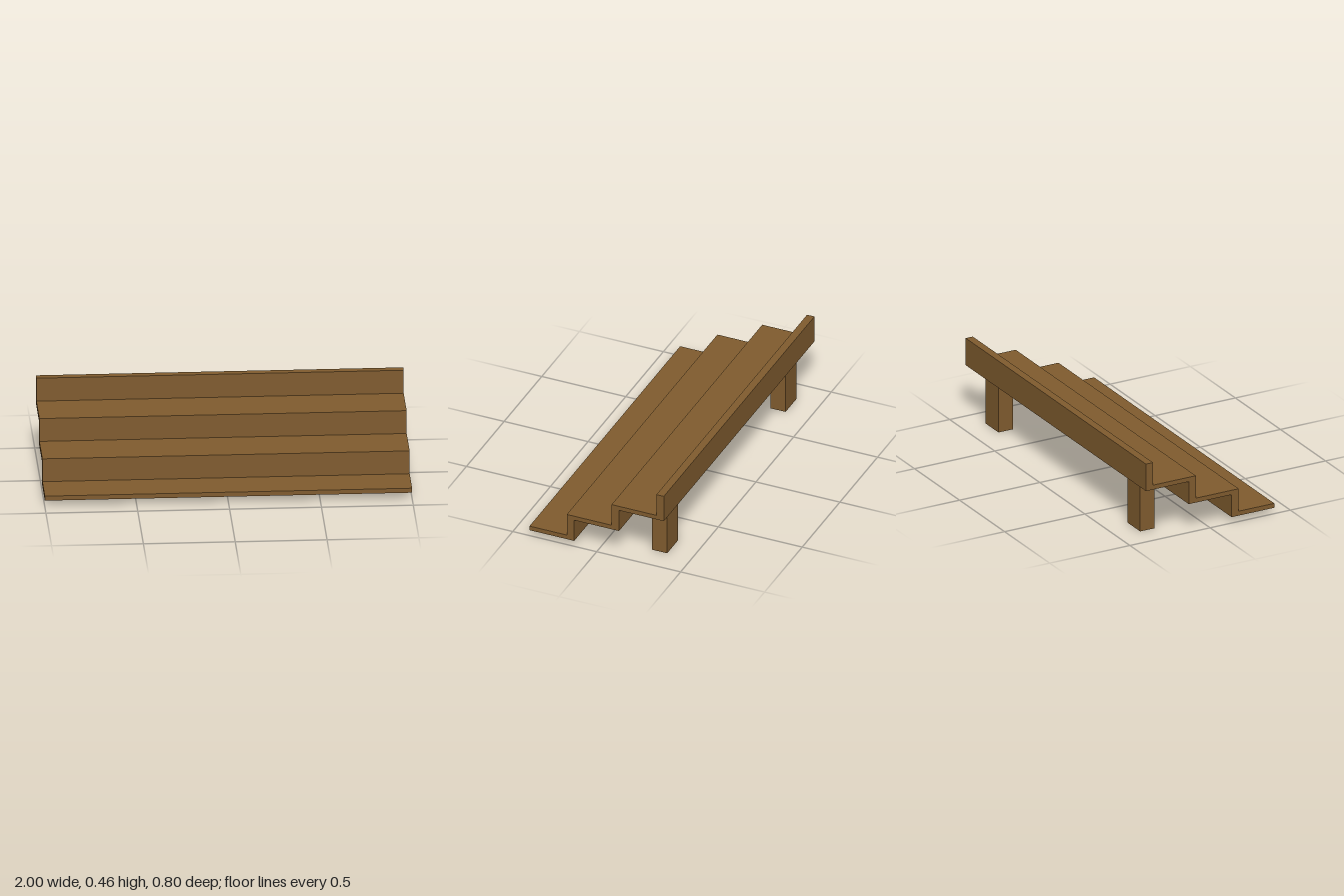
import * as THREE from 'three';

export function createModel() {
  const group = new THREE.Group();
  const wood = new THREE.MeshStandardMaterial({ color: 0x7f5b2e, flatShading: true });

  // Stepped boards: one zigzag side profile (z, y) run along the full width
  const steps = 3, run = 0.267, rise = 0.1327;
  const tread = 0.026, riser = 0.044, front = 0.4, base = 0.035;
  const upper = [[front, base + tread]];
  const lower = [[front, base]];
  for (let i = 0; i < steps; i++) {
    const face = 0.178 - i * run; // front face of this riser
    const last = i === steps - 1;
    const top = last ? 0.46 : base + tread + (i + 1) * rise;
    upper.push([face, base + tread + i * rise], [face, top]);
    lower.push([face - riser, base + i * rise]);
    lower.push([face - riser, last ? top : base + (i + 1) * rise]);
  }
  const outline = [...lower, ...upper.reverse()].map(([z, y]) => new THREE.Vector2(z, y));
  const stepGeometry = new THREE.ExtrudeGeometry(new THREE.Shape(outline), { depth: 2, bevelEnabled: false });
  stepGeometry.translate(0, 0, -1).rotateY(-Math.PI / 2);
  const stepBoards = new THREE.Mesh(stepGeometry, wood);
  stepBoards.name = 'stepBoards';
  group.add(stepBoards);

  // Rear legs under the top step
  for (const side of [-1, 1]) {
    const leg = new THREE.Mesh(new THREE.BoxGeometry(0.143, 0.3, 0.09), wood);
    leg.position.set(side * 0.786, 0.15, -0.311);
    leg.name = side > 0 ? 'leftLeg' : 'rightLeg';
    group.add(leg);
  }
  return group;
}
